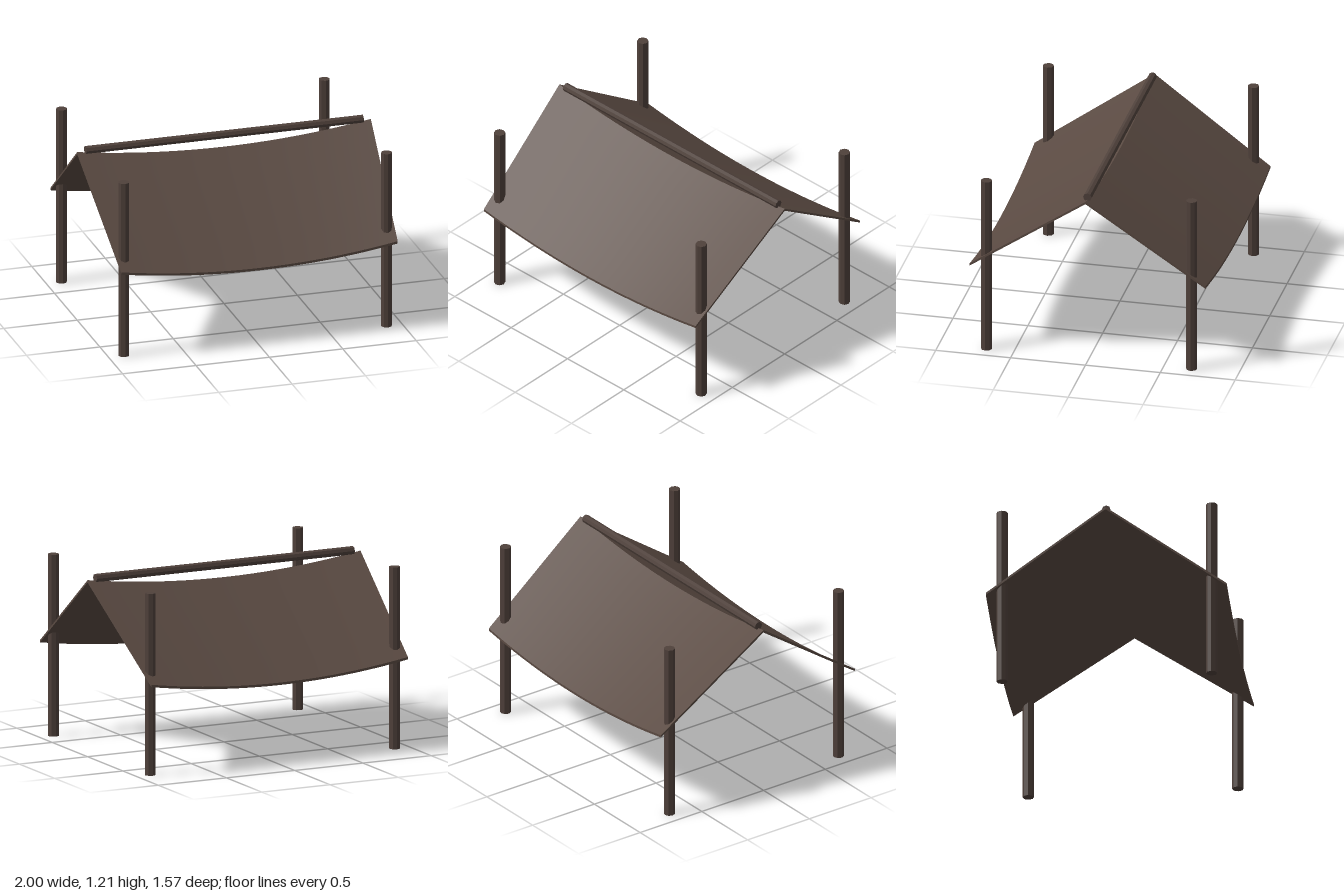
import * as THREE from 'three';

export function createModel() {
  const group = new THREE.Group();
  const cloth = new THREE.MeshStandardMaterial({ color: 0x5a4a42 });
  cloth.name = 'roofBrown';
  const wood = new THREE.MeshStandardMaterial({ color: 0x4f413b, flatShading: true });
  wood.name = 'postBrown';

  const add = (name, geometry, material) => {
    const mesh = new THREE.Mesh(geometry, material);
    mesh.name = name;
    group.add(mesh);
    return mesh;
  };

  // Four upright corner posts
  const post = new THREE.CylinderGeometry(0.037, 0.037, 1.21, 8);
  for (const [side, x] of [['Left', 0.895], ['Right', -0.895]]) {
    for (const [end, z] of [['front', 0.685], ['back', -0.685]]) {
      add(`${end}${side}Post`, post, wood).position.set(x, 0.605, z);
    }
  }

  // Ridge pole
  const ridge = add('ridgePole', new THREE.CylinderGeometry(0.028, 0.028, 1.89, 8), wood);
  ridge.rotation.z = Math.PI / 2;
  ridge.position.y = 1.183;

  // Roof panel: thin slab that slopes to the eave, tapers and sags in the middle
  const panel = new THREE.BoxGeometry(2, 0.016, 1, 20, 1, 6);
  const p = panel.attributes.position;
  for (let i = 0; i < p.count; i++) {
    const u = p.getX(i);
    const t = p.getZ(i) + 0.5; // 0 at ridge, 1 at eave
    const sag = 0.078 * (1 - u * u);
    p.setXYZ(i, u * (1 - 0.06 * t), 1.167 - 0.553 * t - sag + p.getY(i), 0.787 * t);
  }
  panel.computeVertexNormals();
  add('frontRoofPanel', panel, cloth);
  add('backRoofPanel', panel, cloth).rotation.y = Math.PI;

  return group;
}
